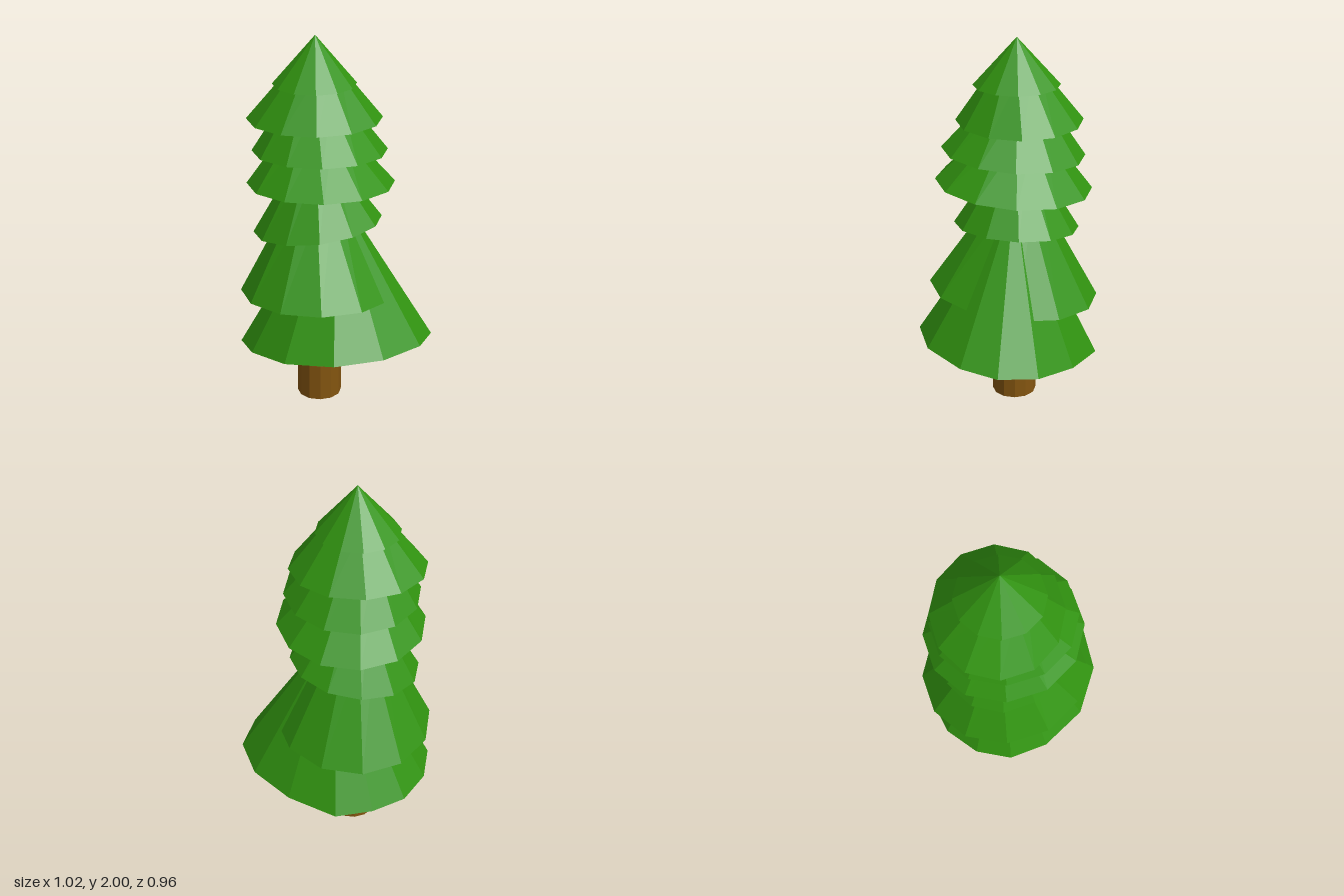
import * as THREE from 'three';

// Elliptical ring of points, tilted by slopes sx (along x) and sz (along z)
function ring({ x, y, z, rx, rz = rx, sx = 0, sz = 0, sides = 12 }) {
  return Array.from({ length: sides }, (_, i) => {
    const a = (i / sides) * Math.PI * 2;
    const dx = rx * Math.cos(a), dz = rz * Math.sin(a);
    return new THREE.Vector3(x + dx, y + sx * dx + sz * dz, z + dz);
  });
}

// Closed faceted solid through a stack of rings, lowest first
function loft(rings) {
  const pos = [];
  const tri = (...pts) => pts.forEach((p) => pos.push(p.x, p.y, p.z));
  const middle = (r) => r.reduce((s, p) => s.add(p), new THREE.Vector3()).divideScalar(r.length);
  const low = rings[0], high = rings[rings.length - 1];
  const lowMid = middle(low), highMid = middle(high);
  const n = low.length;
  for (let i = 0; i < n; i++) {
    const j = (i + 1) % n;
    for (let k = 0; k < rings.length - 1; k++) {
      const b = rings[k], t = rings[k + 1];
      tri(b[j], b[i], t[i]);
      if (t[i].distanceTo(t[j]) > 1e-5) tri(b[j], t[i], t[j]);
    }
    tri(lowMid, low[i], low[j]);
    if (high[i].distanceTo(high[j]) > 1e-5) tri(highMid, high[j], high[i]);
  }
  const geo = new THREE.BufferGeometry();
  geo.setAttribute('position', new THREE.Float32BufferAttribute(pos, 3));
  geo.computeVertexNormals();
  return geo;
}

export function createModel() {
  const green = new THREE.MeshStandardMaterial({ color: 0x319310, flatShading: true });
  green.name = 'needleGreen';
  const brown = new THREE.MeshStandardMaterial({ color: 0x845510, flatShading: true });
  brown.name = 'barkBrown';

  const tree = new THREE.Group();
  tree.name = 'pineTree';
  const add = (name, rings, material) => {
    const mesh = new THREE.Mesh(loft(rings), material);
    mesh.name = name;
    tree.add(mesh);
  };

  // Slightly bent trunk
  add('trunk', [
    ring({ x: -0.088, y: 0, z: -0.035, rx: 0.118 }),
    ring({ x: -0.086, y: 0.2, z: -0.033, rx: 0.118 }),
    ring({ x: -0.088, y: 0.36, z: -0.04, rx: 0.096 }),
    ring({ x: -0.088, y: 0.45, z: -0.04, rx: 0.09 }),
  ], brown);

  // Lowest branches: wide, lopsided skirt
  const skirt = [
    [0.51, 0.07], [0.43, 0.26], [0.225, 0.43], [-0.03, 0.48], [-0.28, 0.39], [-0.45, 0.19],
    [-0.51, -0.01], [-0.46, -0.2], [-0.33, -0.36], [-0.15, -0.44], [0.05, -0.47], [0.285, -0.33], [0.455, -0.14],
  ].map(([x, z]) => new THREE.Vector3(x, 0.352 + 0.05 * x + 0.132 * z, z));
  add('branchSkirt', [skirt, skirt.map(() => new THREE.Vector3(0, 1.2, -0.03))], green);

  // Upper branches: tilted lower rim, narrow top hidden in the next tier
  const tiers = [
    { x: -0.09, y: 0.62, z: -0.03, rx: 0.415, rz: 0.45, sz: 0.1, topY: 1.1, topR: 0.15 },
    { x: -0.093, y: 0.988, z: -0.045, rx: 0.338, rz: 0.33, sx: 0.118, sz: 0.053, topY: 1.35, topR: 0.1 },
    { x: -0.075, y: 1.228, z: -0.03, rx: 0.385, rz: 0.41, sz: 0.073, topY: 1.5, topR: 0.16 },
    { x: -0.08, y: 1.405, z: -0.028, rx: 0.35, rz: 0.373, sz: 0.067, topY: 1.68, topR: 0.15 },
    { x: -0.105, y: 1.567, z: -0.06, rx: 0.35, rz: 0.33, topY: 1.82, topR: 0.14 },
    { x: -0.105, y: 1.752, z: -0.045, rx: 0.215, rz: 0.225, topY: 2, topR: 0 },
  ];
  tiers.forEach((t, i) => add(`branchTier${i + 1}`, [
    ring(t),
    ring({ x: -0.1, y: t.topY, z: -0.045, rx: t.topR }),
  ], green));

  return tree;
}
